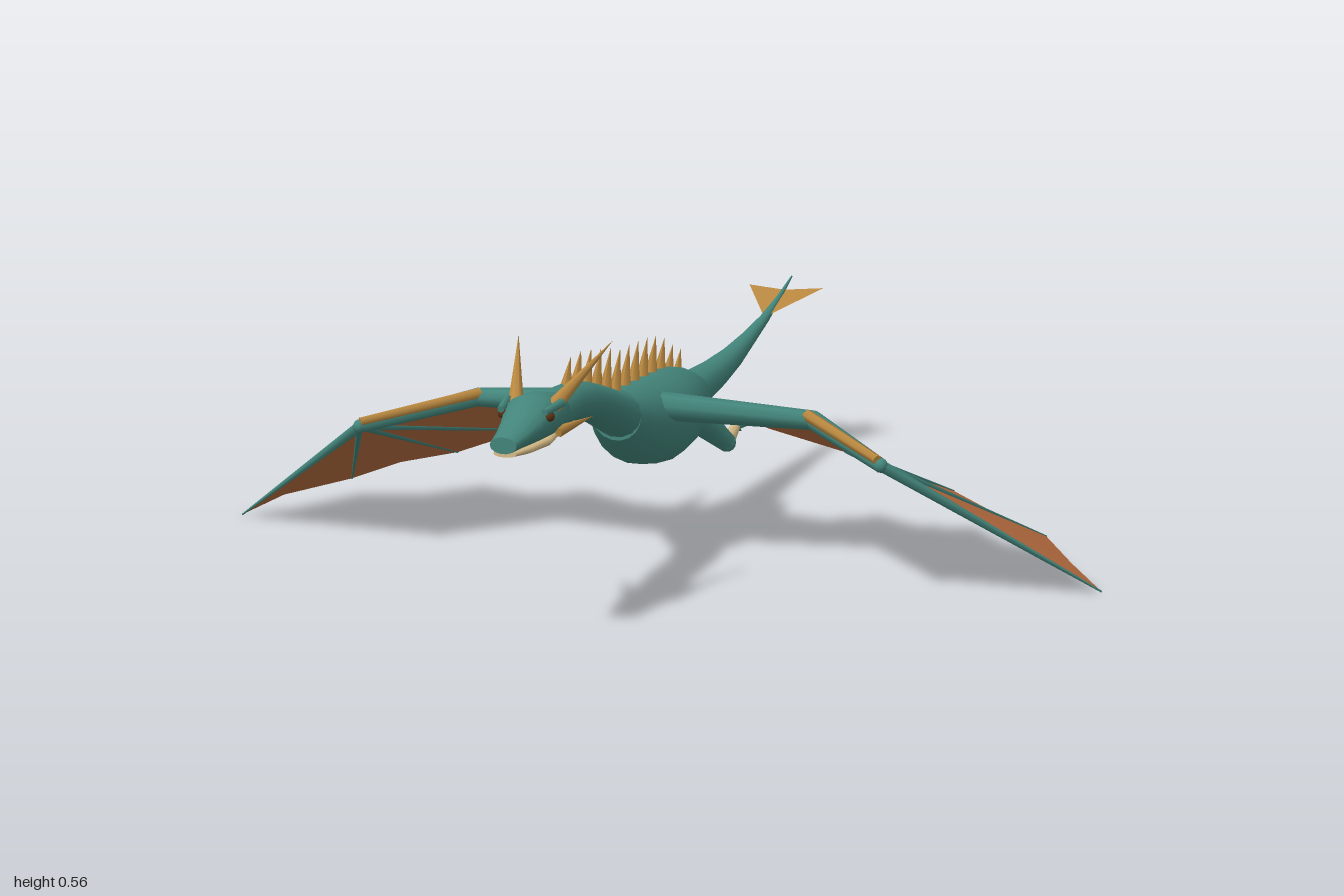
import * as THREE from 'three';

const mat = (name, color, extra = {}) => Object.assign(new THREE.MeshStandardMaterial({ color, ...extra }), { name });
const V = (p) => new THREE.Vector3(...p);

export function createModel() {
  const model = new THREE.Group();
  model.name = 'dragon';
  const teal = mat('teal scales', 0x43857b);
  const gold = mat('gold horn', 0xb98840);
  const cream = mat('cream', 0xd8bd88);
  const skin = mat('wing membrane', 0xb56c3f, { side: THREE.DoubleSide });
  const fin = mat('tail fin gold', 0xb98840, { side: THREE.DoubleSide });
  const dark = mat('eye brown', 0x5a3214);

  const add = (name, geo, material, parent = model) => {
    const m = new THREE.Mesh(geo, material);
    m.name = name;
    parent.add(m);
    return m;
  };

  // Closed tube through elliptical rings [z, y, rx, ry], z increasing
  const loft = (rings, n = 14) => {
    const pos = [], idx = [];
    for (const [z, y, rx, ry] of rings)
      for (let i = 0; i < n; i++) {
        const a = (i / n) * Math.PI * 2;
        pos.push(rx * Math.cos(a), y + ry * Math.sin(a), z);
      }
    const last = (rings.length - 1) * n;
    for (let j = 0; j < last; j += n)
      for (let i = 0; i < n; i++) {
        const k = (i + 1) % n;
        idx.push(j + i, j + k, j + n + i, j + k, j + n + k, j + n + i);
      }
    // End caps have their own vertices so the rim stays sharp
    for (const [start, flip] of [[0, true], [last, false]]) {
      const base = pos.length / 3;
      pos.push(...pos.slice(start * 3, (start + n) * 3));
      for (let i = 1; i < n - 1; i++)
        idx.push(base, base + (flip ? i + 1 : i), base + (flip ? i : i + 1));
    }
    const g = new THREE.BufferGeometry();
    g.setAttribute('position', new THREE.Float32BufferAttribute(pos, 3));
    g.setIndex(idx);
    g.computeVertexNormals();
    return g;
  };

  // Tapered rod from p to q
  const rod = (name, p, q, r1, r2, material, parent = model, sides = 8) => {
    const a = V(p), d = V(q).sub(a);
    const g = r2 > 0
      ? new THREE.CylinderGeometry(r2, r1, d.length(), sides)
      : new THREE.ConeGeometry(r1, d.length(), sides);
    const m = add(name, g, material, parent);
    m.position.copy(a).addScaledVector(d, 0.5);
    m.quaternion.setFromUnitVectors(new THREE.Vector3(0, 1, 0), d.normalize());
    return m;
  };

  // Flat-faced sheet from a list of triangles of points
  const sheet = (tris) => {
    const g = new THREE.BufferGeometry();
    g.setAttribute('position', new THREE.Float32BufferAttribute(tris.flat(2), 3));
    g.computeVertexNormals();
    return g;
  };

  // Trunk, neck and tail
  add('body', loft([
    [-0.1, 0.302, 0.056, 0.05], [-0.03, 0.3, 0.083, 0.075], [0.06, 0.297, 0.103, 0.096],
    [0.16, 0.295, 0.11, 0.102], [0.25, 0.305, 0.098, 0.094], [0.32, 0.325, 0.074, 0.074],
    [0.365, 0.343, 0.056, 0.056],
  ], 18), teal);
  add('neck', loft([
    [0.3, 0.325, 0.062, 0.06], [0.38, 0.35, 0.055, 0.049], [0.47, 0.383, 0.051, 0.044],
    [0.56, 0.412, 0.046, 0.04], [0.65, 0.425, 0.043, 0.038], [0.77, 0.424, 0.041, 0.036],
  ]), teal);
  add('tail', loft([
    [-0.97, 0.447, 0.002, 0.002], [-0.85, 0.408, 0.007, 0.007], [-0.72, 0.374, 0.013, 0.012],
    [-0.58, 0.346, 0.02, 0.019], [-0.44, 0.322, 0.029, 0.028], [-0.3, 0.308, 0.038, 0.036],
    [-0.18, 0.303, 0.046, 0.042], [-0.06, 0.303, 0.053, 0.048],
  ]), teal);
  const notch = [0, 0.422, -0.9], root = [0, 0.378, -0.72];
  add('tailFin', sheet([-1, 1].map((s) => {
    const t = [root, [0.1 * s, 0.428, -0.92], notch];
    return s > 0 ? t : t.reverse();
  })), fin);

  // Head and jaw
  add('head', loft([
    [0.735, 0.425, 0.043, 0.038], [0.79, 0.431, 0.055, 0.044], [0.84, 0.432, 0.057, 0.044],
    [0.885, 0.42, 0.043, 0.033], [0.93, 0.411, 0.034, 0.022], [0.972, 0.405, 0.027, 0.016],
  ]), teal);
  add('jaw', loft([
    [0.77, 0.392, 0.036, 0.014], [0.83, 0.386, 0.042, 0.014],
    [0.9, 0.384, 0.031, 0.011], [0.965, 0.388, 0.023, 0.007],
  ], 12), cream);

  // Row of back spines, leaning backwards
  for (let i = 0; i < 13; i++) {
    const z = 0.645 - i * 0.057;
    const y = z > 0.4 ? 0.45 - Math.max(0, 0.6 - z) * 0.23 : z > 0.1 ? 0.395 : 0.395 - (0.1 - z) * 0.33;
    const h = 0.055 + 0.03 * Math.sin((Math.PI * Math.min(i + 1, 12)) / 13);
    rod('backSpine', [0, y - 0.012, z + 0.012], [0, y + h, z - 0.022], 0.017, 0, gold, model, 5);
  }

  for (const s of [1, -1]) {
    const side = s > 0 ? 'left' : 'right';
    const P = (x, y, z) => [x * s, y, z];

    // Horns, cheek spikes and eyes
    rod(side + 'Horn', P(0.035, 0.445, 0.825), P(0.1, 0.556, 0.65), 0.017, 0, gold);
    rod(side + 'CheekSpike', P(0.045, 0.402, 0.81), P(0.092, 0.422, 0.74), 0.012, 0, gold, model, 6);
    const eye = add(side + 'Eye', new THREE.SphereGeometry(0.01, 10, 8), dark);
    eye.position.set(0.048 * s, 0.441, 0.858);
    rod(side + 'Brow', P(0.045, 0.452, 0.875), P(0.056, 0.46, 0.815), 0.007, 0.009, teal, model, 6);

    // Wing: arm bones, finger ribs and membrane
    const wing = new THREE.Group();
    wing.name = side + 'Wing';
    model.add(wing);
    const shoulder = P(0.06, 0.345, 0.255), elbow = P(0.385, 0.325, 0.205);
    const wrist = P(0.58, 0.285, 0.4), hip = P(0.07, 0.3, -0.01);
    const edge = [
      P(1, 0, 0.18), P(0.925, 0.038, 0.115), P(0.84, 0.042, -0.07), P(0.71, 0.092, -0.07),
      P(0.61, 0.1, -0.18), P(0.48, 0.155, -0.1), P(0.364, 0.178, -0.15), P(0.225, 0.25, -0.015),
    ];
    rod('upperArm', shoulder, elbow, 0.031, 0.021, teal, wing);
    rod('forearm', elbow, wrist, 0.021, 0.015, teal, wing);
    rod('forearmRidge', P(0.375, 0.337, 0.215), P(0.575, 0.297, 0.407), 0.013, 0.01, gold, wing, 6);
    for (const [p, r] of [[elbow, 0.021], [wrist, 0.015]])
      add('wingJoint', new THREE.SphereGeometry(r, 10, 8), teal, wing).position.set(...p);
    for (const i of [0, 2, 4, 6])
      rod('fingerRib', wrist, edge[i], i ? 0.009 : 0.012, 0.002, teal, wing, 6);

    const tris = [];
    for (let i = 0; i < 6; i++) tris.push([wrist, edge[i], edge[i + 1]]);
    tris.push([wrist, edge[6], elbow], [elbow, edge[6], edge[7]], [elbow, edge[7], hip], [elbow, hip, shoulder]);
    add('membrane', sheet(s > 0 ? tris : tris.map((t) => [...t].reverse())), skin, wing);

    // Hind leg tucked backwards, with claws
    const leg = new THREE.Group();
    leg.name = side + 'Leg';
    model.add(leg);
    const knee = P(0.118, 0.208, -0.035), ankle = P(0.103, 0.218, -0.15);
    rod('thigh', P(0.07, 0.275, 0.03), knee, 0.036, 0.022, teal, leg, 10);
    add('knee', new THREE.SphereGeometry(0.022, 10, 8), teal, leg).position.set(...knee);
    rod('shin', knee, ankle, 0.018, 0.011, cream, leg);
    for (const dx of [-0.014, 0, 0.014])
      rod('claw', ankle, P(0.103 + dx, 0.198 + Math.abs(dx), -0.2), 0.008, 0, teal, leg, 6);
  }
  return model;
}
